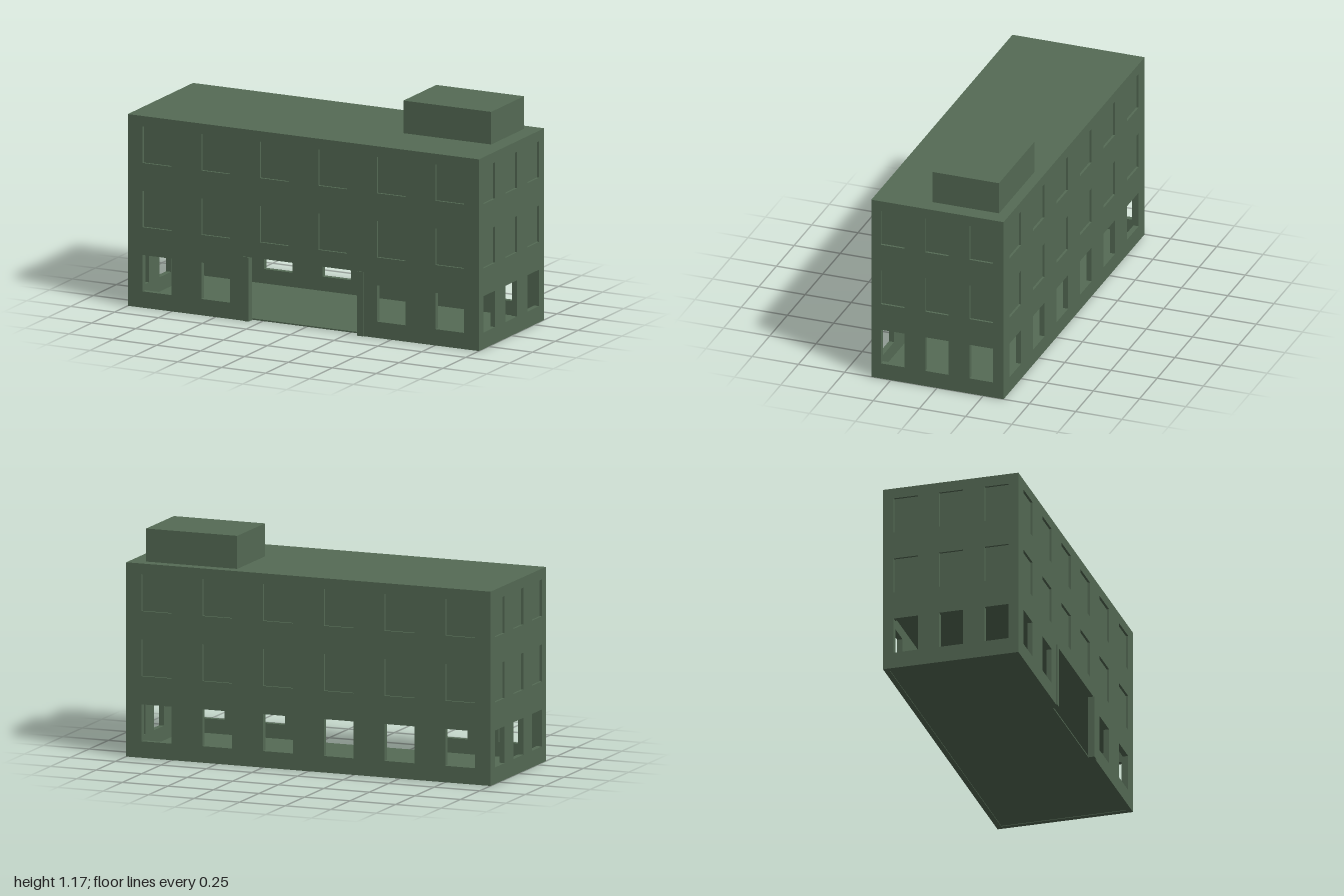
import * as THREE from 'three';

const X = 1, Z0 = -0.36, Z1 = 0.355;      // outer faces of the block
const T = 0.028;                          // wall thickness
const RECESS = 0.012;                     // depth of the blind upper windows
const ROOF_Y = 0.985, CEILING = 0.336;
const ROWS = [0.085, 0.42, 0.755], WIN_H = 0.19;
const DOOR = { half: 0.308, top: 0.335 };

const material = new THREE.MeshStandardMaterial({ color: 0x556b55, flatShading: true });

function mesh(geometry, name) {
  const m = new THREE.Mesh(geometry, material);
  m.name = name;
  return m;
}

// Box given by its lower and upper corners
function box(name, [x0, y0, z0], [x1, y1, z1]) {
  const g = new THREE.BoxGeometry(x1 - x0, y1 - y0, z1 - z0);
  g.translate((x0 + x1) / 2, (y0 + y1) / 2, (z0 + z1) / 2);
  return mesh(g, name);
}

// Wall in the xy plane, outer face at z = 0, with rows of window holes and an optional doorway
function wall(name, a, b, centres, winW, door) {
  const outline = [[a, 0]];
  if (door) outline.push([-door.half, 0], [-door.half, door.top], [door.half, door.top], [door.half, 0]);
  outline.push([b, 0], [b, ROOF_Y], [a, ROOF_Y]);
  const shape = new THREE.Shape(outline.map(([x, y]) => new THREE.Vector2(x, y)));
  ROWS.forEach((y, row) => {
    for (const c of centres) {
      if (door && row === 0 && Math.abs(c) < door.half) continue;
      const l = c - winW / 2, r = c + winW / 2;
      shape.holes.push(new THREE.Path(
        [[l, y], [l, y + WIN_H], [r, y + WIN_H], [r, y]].map(([px, py]) => new THREE.Vector2(px, py))));
    }
  });
  const g = new THREE.ExtrudeGeometry(shape, { depth: T, bevelEnabled: false });
  g.translate(0, 0, -T);
  return mesh(g, name);
}

export function createModel() {
  const group = new THREE.Group();
  group.name = 'building';

  // Long walls: six bays
  const bays = [-5, -3, -1, 1, 3, 5].map(i => i / 6);
  const front = wall('frontWall', -X, X, bays, 0.163, DOOR);
  front.position.z = Z1;
  const back = wall('backWall', -X, X, bays, 0.163);
  back.rotation.y = Math.PI;
  back.position.z = Z0;
  group.add(front, back);

  // End walls: three bays, fitted between the long walls
  for (const s of [1, -1]) {
    const ends = [-s * (Z1 - T), -s * (Z0 + T)].sort((p, q) => p - q);
    const end = wall(s > 0 ? 'leftWall' : 'rightWall', ends[0], ends[1], [-0.24, 0, 0.24], 0.127);
    end.rotation.y = s * Math.PI / 2;
    end.position.x = s * X;
    group.add(end);
  }

  // Solid upper storeys behind the blind windows, ground floor slab and roof
  group.add(box('upperStoreys', [-X + RECESS, CEILING, Z0 + RECESS], [X - RECESS, ROOF_Y, Z1 - RECESS]));
  group.add(box('groundFloor', [-X + T, 0.003, Z0 + T], [X - T, 0.01, Z1 - T]));
  group.add(box('roof', [-X, ROOF_Y, Z0], [X, 1, Z1]));
  group.add(box('roofHouse', [0.415, 1, -0.303], [0.915, 1.17, 0.057]));

  // Slim posts either side of the wide entrance
  for (const s of [1, -1]) {
    const xs = [s * DOOR.half, s * (DOOR.half + 0.034)].sort((p, q) => p - q);
    group.add(box('entrancePost', [xs[0], 0, Z1 - 0.01], [xs[1], DOOR.top, 0.361]));
  }
  return group;
}
